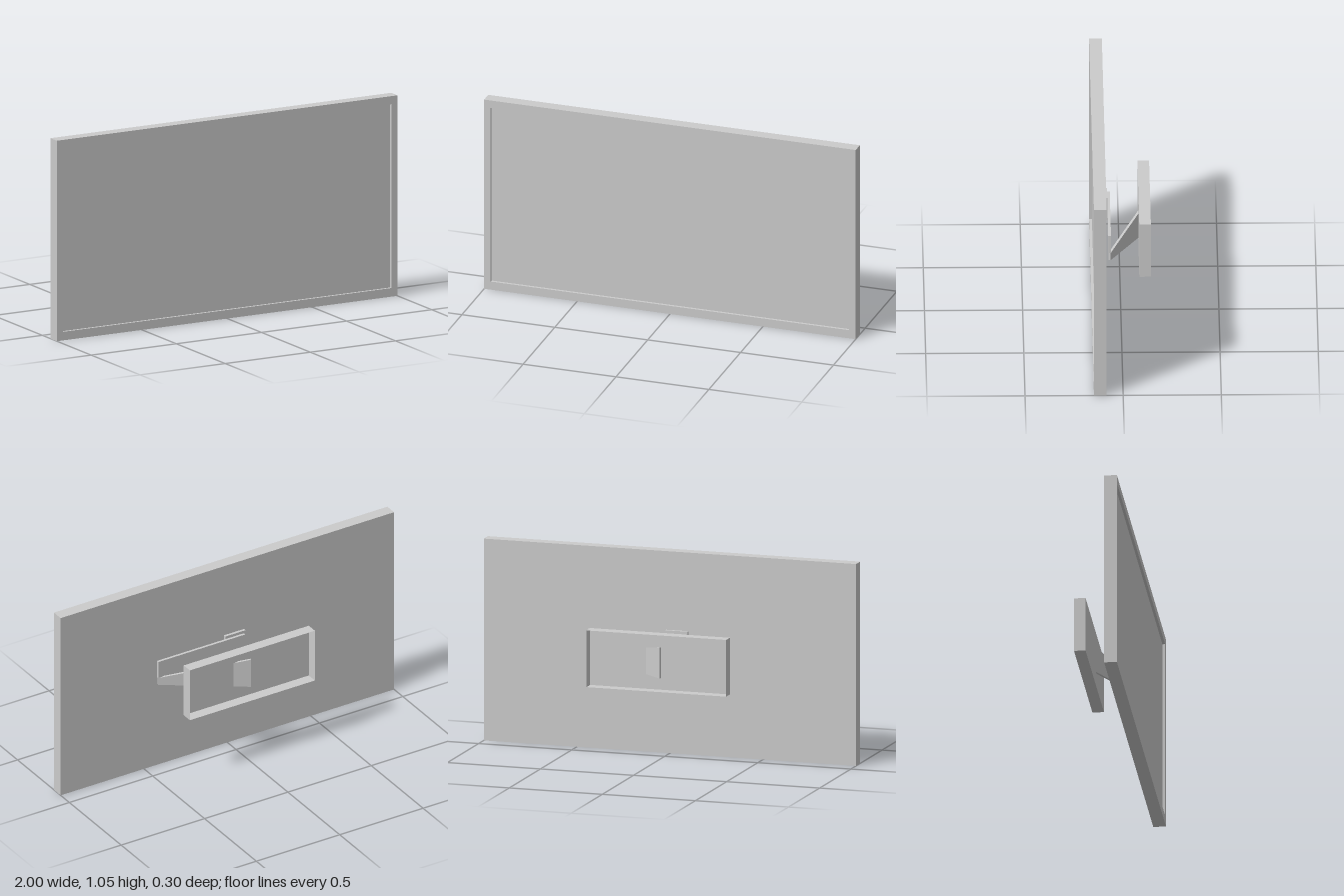
import * as THREE from 'three';

const material = new THREE.MeshStandardMaterial({ color: 0xcccccc, flatShading: true });
const thinMaterial = new THREE.MeshStandardMaterial({ color: 0xcccccc, flatShading: true, side: THREE.DoubleSide });

// Box given by its limits on each axis
function block(name, [x0, x1], [y0, y1], [z0, z1], mat = material) {
  const mesh = new THREE.Mesh(new THREE.BoxGeometry(x1 - x0, y1 - y0, z1 - z0), mat);
  mesh.position.set((x0 + x1) / 2, (y0 + y1) / 2, (z0 + z1) / 2);
  mesh.name = name;
  return mesh;
}

const polygon = (points) => points.map(([x, y]) => new THREE.Vector2(x, y));
const rectangle = (x0, x1, y0, y1) => polygon([[x0, y0], [x1, y0], [x1, y1], [x0, y1]]);

function plate(name, shape, depth) {
  const mesh = new THREE.Mesh(new THREE.ExtrudeGeometry(shape, { depth, bevelEnabled: false }), material);
  mesh.name = name;
  return mesh;
}

export function createModel() {
  const model = new THREE.Group();
  model.name = 'wallMountedScreen';

  // Screen: full-size housing with a raised bezel around the recessed panel
  const screen = new THREE.Group();
  screen.name = 'screen';
  const bezelShape = new THREE.Shape(rectangle(-1, 1, 0, 1.05));
  bezelShape.holes.push(new THREE.Path(rectangle(-0.965, 0.965, 0.045, 1.008).reverse()));
  const bezel = plate('bezel', bezelShape, 0.014);
  bezel.position.z = 0.135;
  screen.add(block('housing', [-1, 1], [0, 1.05], [0.084, 0.135]), bezel);

  // Wall box: a shallow tray, open towards the wall
  const wallBox = block('wallBox', [-0.38, 0.37], [0.365, 0.66], [-0.149, -0.09], thinMaterial);
  const faces = Array.from(wallBox.geometry.index.array);
  wallBox.geometry.setIndex(faces.slice(0, 30)); // leave out the back face

  // Folding arm: a tapered plate swinging out of the box, and a straight upper plate
  const length = 0.48;
  const lowerArm = plate('lowerArm', new THREE.Shape(polygon([
    [0, 0.49], [length, 0.43], [length, 0.59], [0, 0.53],
  ])), 0.012);
  lowerArm.position.set(0.428, 0, 0.068);
  lowerArm.rotation.y = Math.PI - 0.385;

  model.add(
    screen,
    wallBox,
    lowerArm,
    block('upperArm', [-0.09, 0.432], [0.53, 0.626], [0.055, 0.069]),
    block('screenBracket', [-0.1, 0.02], [0.516, 0.641], [0.069, 0.084]),
  );
  return model;
}
